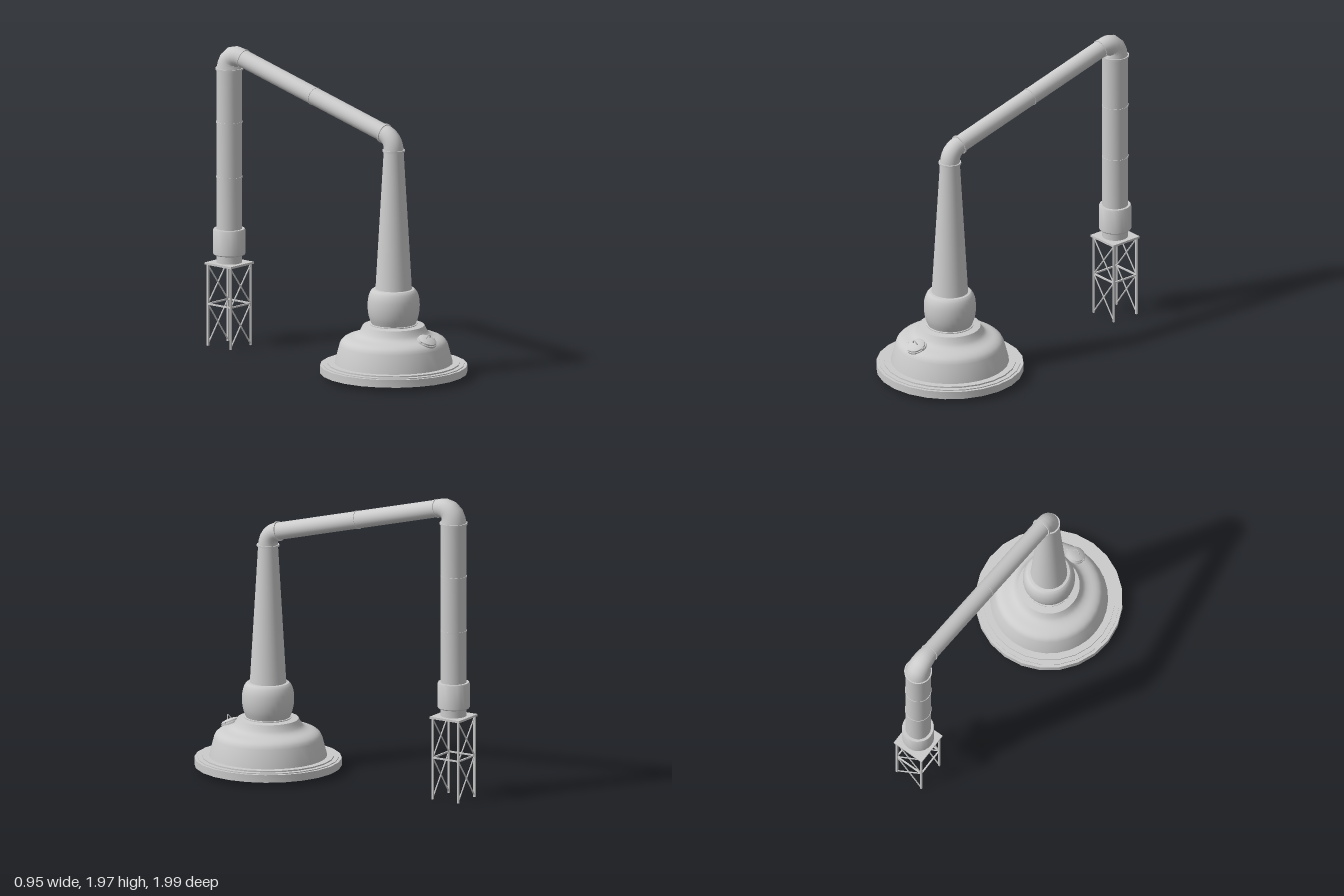
import * as THREE from 'three';
import { toCreasedNormals } from 'three/addons/utils/BufferGeometryUtils.js';

const POT_Z = 0.523, COL_Z = -0.885;
const mat = new THREE.MeshStandardMaterial({ color: 0xcccccc, side: THREE.DoubleSide });
const V = (x, y, z) => new THREE.Vector3(x, y, z);
const UP = V(0, 1, 0);

function add(parent, name, geo, x = 0, y = 0, z = 0) {
  const m = new THREE.Mesh(geo, mat);
  m.name = name;
  m.position.set(x, y, z);
  parent.add(m);
  return m;
}

const lathe = (pts, seg = 24) => toCreasedNormals(
  new THREE.LatheGeometry(pts.map(([r, y]) => new THREE.Vector2(r, y)), seg), 0.55);

// Smooth run of profile points through a few control points
const smooth = (pts, n) => new THREE.SplineCurve(pts.map(p => new THREE.Vector2(...p)))
  .getPoints(n).map(p => [p.x, p.y]);

// Straight round pipe between two points, open at the ends
function pipe(parent, name, a, b, r0, r1 = r0, seg = 24, open = true) {
  const geo = new THREE.CylinderGeometry(r1, r0, a.distanceTo(b), seg, 1, open);
  const m = add(parent, name, geo);
  m.position.copy(a).lerp(b, 0.5);
  m.quaternion.setFromUnitVectors(UP, b.clone().sub(a).normalize());
  return m;
}

// Thin joint ring round a pipe
function ring(parent, at, dir, r, h = 0.012) {
  const d = dir.clone().normalize().multiplyScalar(h / 2);
  return pipe(parent, 'jointRing', at.clone().sub(d), at.clone().add(d), r, r, 24, false);
}

// Bent pipe whose radius changes along its length
function elbow(parent, name, a, corner, b, r0, r1) {
  const n = 6, seg = 24;
  const curve = new THREE.QuadraticBezierCurve3(a, corner, b);
  const geo = new THREE.TubeGeometry(curve, n, 1, seg);
  const pos = geo.attributes.position, v = V(0, 0, 0);
  for (let i = 0; i < pos.count; i++) {
    const t = Math.floor(i / (seg + 1)) / n, c = curve.getPointAt(t);
    v.fromBufferAttribute(pos, i).sub(c).multiplyScalar(r0 + (r1 - r0) * t).add(c);
    pos.setXYZ(i, v.x, v.y, v.z);
  }
  add(parent, name, toCreasedNormals(geo, 0.6));
}

function buildPot() {
  const g = new THREE.Group();
  g.name = 'pot';
  g.position.z = POT_Z;
  // Stepped rim round the foot
  add(g, 'baseRim', lathe([[0.385, 0.06], [0.43, 0.06], [0.43, 0.03], [0.474, 0.03], [0.474, 0.08],
    [0.455, 0.08], [0.455, 0.086], [0.425, 0.086], [0.425, 0.095], [0.38, 0.095]]));
  // Hollow kettle body with rounded shoulder
  add(g, 'kettle', lathe([[0.385, 0.06], [0.38, 0.095],
    ...smooth([[0.349, 0.215], [0.335, 0.24], [0.305, 0.26], [0.255, 0.275], [0.225, 0.293], [0.205, 0.325]], 14),
    [0.198, 0.34], [0.15, 0.345]], 32));
  // Bulging ball below the neck
  add(g, 'ball', lathe([[0.152, 0.338], [0.152, 0.35],
    ...smooth([[0.143, 0.352], [0.16, 0.4], [0.168, 0.46], [0.164, 0.52], [0.15, 0.56], [0.135, 0.577]], 14),
    [0.115, 0.58]], 32));
  // Tapering neck
  add(g, 'neck', lathe([[0.119, 0.574], [0.117, 0.584], [0.064, 1.485]], 32));
  ring(g, V(0, 1.485, 0), UP, 0.073);
  return g;
}

function buildHatch() {
  const g = new THREE.Group();
  g.name = 'hatch';
  g.position.set(0, 0.262, 0.803);
  g.rotation.x = 0.42;
  add(g, 'hatchNeck', new THREE.CylinderGeometry(0.05, 0.05, 0.06, 20, 1, true), 0, -0.01, 0);
  // Flange and shallow domed lid
  add(g, 'hatchLid', lathe([[0.05, 0], [0.065, 0], [0.065, 0.012], [0.06, 0.014], [0.06, 0.024],
    [0.045, 0.032], [0.02, 0.036], [0, 0.037]], 20));
  const handle = new THREE.QuadraticBezierCurve3(V(-0.022, 0.03, 0), V(0, 0.095, 0), V(0.022, 0.03, 0));
  add(g, 'hatchHandle', new THREE.TubeGeometry(handle, 8, 0.004, 6));
  for (const s of [-1, 1]) {
    add(g, 'hatchClamp', new THREE.BoxGeometry(0.014, 0.02, 0.012), s * 0.06, 0.014, 0);
  }
  return g;
}

function buildArm() {
  const g = new THREE.Group();
  g.name = 'arm';
  const low = V(0, 1.588, 0.443), high = V(0, 1.903, -0.762);
  const dir = high.clone().sub(low);
  elbow(g, 'lowerElbow', V(0, 1.485, POT_Z), V(0, 1.567, POT_Z), low, 0.064, 0.058);
  pipe(g, 'armPipe', low, high, 0.057);
  elbow(g, 'upperElbow', high, V(0, 1.935, COL_Z), V(0, 1.82, COL_Z), 0.057, 0.083);
  ring(g, low, dir, 0.065);
  ring(g, low.clone().lerp(high, 0.5), dir, 0.06, 0.008);
  ring(g, high, dir, 0.062, 0.008);
  return g;
}

function buildColumn() {
  const g = new THREE.Group();
  g.name = 'column';
  g.position.z = COL_Z;
  // Pipe with the wide collar near its foot
  add(g, 'columnPipe', lathe([[0.083, 0.535], [0.083, 0.6], [0.1, 0.6], [0.104, 0.606], [0.104, 0.762],
    [0.1, 0.77], [0.083, 0.77], [0.083, 1.82]]));
  ring(g, V(0, 1.82, 0), UP, 0.09);
  for (const y of [1.11, 1.47]) ring(g, V(0, y, 0), UP, 0.086, 0.008);
  return g;
}

function buildStand() {
  const g = new THREE.Group();
  g.name = 'stand';
  g.position.z = COL_Z;
  const e = 0.097, bar = 0.005, levels = [0.01, 0.275, 0.53];
  // Square top plate with a round opening
  const h = 0.112;
  const plate = new THREE.Shape([[-h, -h], [h, -h], [h, h], [-h, h]].map(p => new THREE.Vector2(...p)));
  plate.holes.push(new THREE.Path().absarc(0, 0, 0.083, 0, Math.PI * 2, true));
  const geo = new THREE.ExtrudeGeometry(plate, { depth: 0.014, bevelEnabled: false, curveSegments: 24 });
  add(g, 'topPlate', geo.rotateX(-Math.PI / 2), 0, 0.534, 0);
  for (const s of [-1, 1]) {
    for (const t of [-1, 1]) {
      add(g, 'leg', new THREE.BoxGeometry(0.012, 0.535, 0.012), s * e, 0.2675, t * e);
    }
    // Middle rails
    add(g, 'sideRail', new THREE.BoxGeometry(0.01, 0.01, 2 * e), s * e, levels[1], 0);
    add(g, 'crossRail', new THREE.BoxGeometry(2 * e, 0.01, 0.01), 0, levels[1], s * e);
    // Crossed braces on the front and back, two tiers
    for (let i = 0; i < 2; i++) {
      for (const t of [-1, 1]) {
        pipe(g, 'brace', V(-t * e, levels[i], s * e), V(t * e, levels[i + 1], s * e), bar, bar, 6, false);
      }
    }
  }
  return g;
}

export function createModel() {
  const model = new THREE.Group();
  model.name = 'potStill';
  model.add(buildPot(), buildHatch(), buildArm(), buildColumn(), buildStand());
  return model;
}
